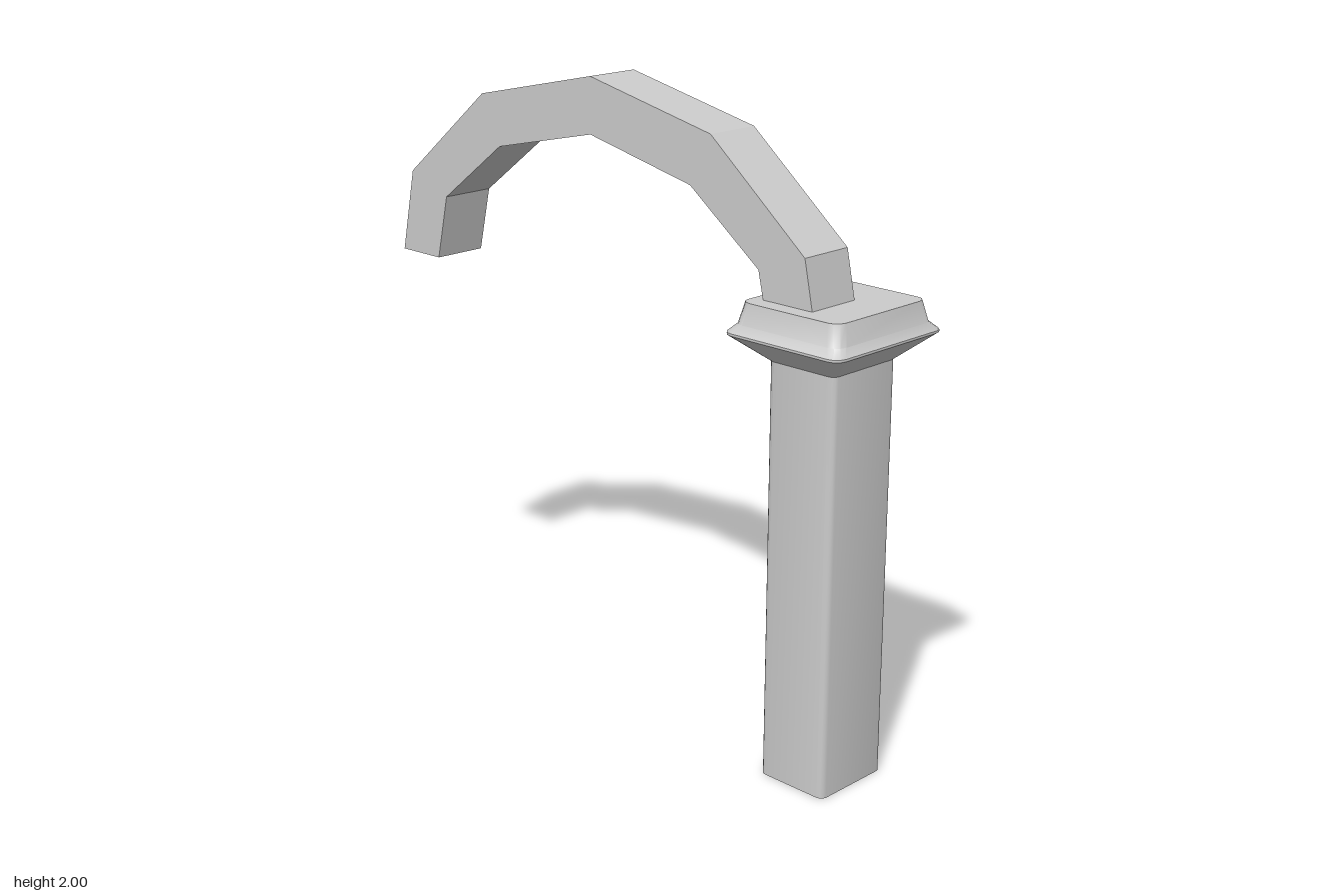
import * as THREE from 'three';
import { toCreasedNormals } from 'three/addons/utils/BufferGeometryUtils.js';

const CORNER_STEPS = 3;

function material(flatShading = false) {
  return new THREE.MeshStandardMaterial({ color: 0xcccccc, side: THREE.DoubleSide, flatShading });
}

// Rounded rectangle outline in the xz plane, running from +x towards -z
function ring(hx, hz, r, y) {
  const points = [];
  const corners = [[1, 1], [-1, 1], [-1, -1], [1, -1]];
  corners.forEach(([sx, sz], i) => {
    for (let k = 0; k <= CORNER_STEPS; k++) {
      const a = (i + k / CORNER_STEPS) * Math.PI / 2;
      points.push([sx * (hx - r) + r * Math.cos(a), y, -(sz * (hz - r) + r * Math.sin(a))]);
    }
  });
  return points;
}

// Skin a stack of rings from bottom to top, with an optional flat lid
function loft(rings, lid) {
  const n = rings[0].length;
  const index = [];
  for (let j = 0; j < rings.length - 1; j++) {
    for (let i = 0; i < n; i++) {
      const a = j * n + i, b = j * n + (i + 1) % n;
      index.push(a, b, b + n, a, b + n, a + n);
    }
  }
  const positions = rings.flat(2);
  if (lid) {
    const top = (rings.length - 1) * n, centre = rings.length * n;
    positions.push(0, rings[rings.length - 1][0][1], 0);
    for (let i = 0; i < n; i++) index.push(top + i, top + (i + 1) % n, centre);
  }
  const geometry = new THREE.BufferGeometry();
  geometry.setAttribute('position', new THREE.Float32BufferAttribute(positions, 3));
  geometry.setIndex(index);
  return toCreasedNormals(geometry, 0.65);
}

// Curved arm: front plate plus outer and inner walls, open at the back and ends
function armGeometry() {
  const centreX = -0.075, front = 0.14, back = -0.04;
  const mirrored = (half) => [
    ...half.map(([x, y]) => [centreX - x, y]),
    [centreX, half.apex],
    ...half.slice().reverse().map(([x, y]) => [centreX + x, y]),
  ];
  const outerHalf = [[0.897, 1.33], [0.84, 1.6], [0.485, 1.893]];
  outerHalf.apex = 2;
  const innerHalf = [[0.72, 1.33], [0.672, 1.538], [0.408, 1.737]];
  innerHalf.apex = 1.828;
  const outer = mirrored(outerHalf), inner = mirrored(innerHalf);

  const positions = [];
  const quad = (a, b, c, d) => positions.push(...a, ...b, ...c, ...a, ...c, ...d);
  for (let i = 0; i < outer.length - 1; i++) {
    const [o0, o1, i0, i1] = [outer[i], outer[i + 1], inner[i], inner[i + 1]];
    quad([...i0, front], [...i1, front], [...o1, front], [...o0, front]);
    quad([...o0, front], [...o1, front], [...o1, back], [...o0, back]);
    quad([...i0, back], [...i1, back], [...i1, front], [...i0, front]);
  }
  const geometry = new THREE.BufferGeometry();
  geometry.setAttribute('position', new THREE.Float32BufferAttribute(positions, 3));
  geometry.computeVertexNormals();
  return geometry;
}

export function createModel() {
  const model = new THREE.Group();
  model.name = 'archedPost';
  const add = (name, geometry, x, flat) => {
    const mesh = new THREE.Mesh(geometry, material(flat));
    mesh.name = name;
    mesh.position.x = x;
    model.add(mesh);
  };

  // Hollow square post, open at the foot
  const postX = 0.755;
  add('post', loft([ring(0.12, 0.135, 0.02, 0), ring(0.12, 0.135, 0.02, 1.285)]), postX);

  // Flared capital with a flat top
  add('capital', loft([
    ring(0.12, 0.135, 0.02, 1.283),
    ring(0.21, 0.232, 0.035, 1.362),
    ring(0.21, 0.232, 0.035, 1.369),
    ring(0.19, 0.208, 0.035, 1.392),
    ring(0.176, 0.194, 0.035, 1.455),
  ], true), postX);

  // Arm springing from the capital
  add('archedArm', armGeometry(), 0, true);
  return model;
}
